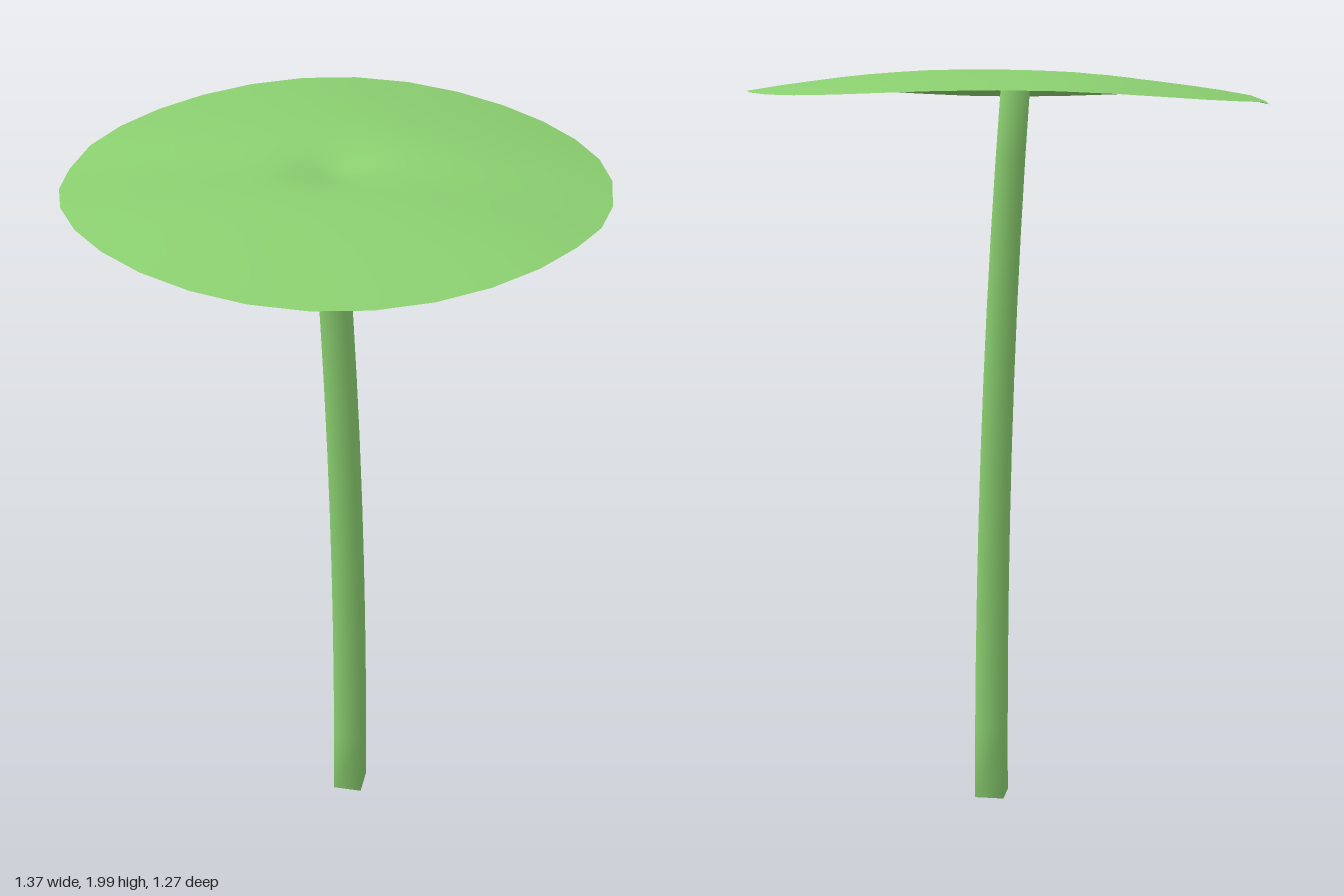
import * as THREE from 'three';
import { mergeVertices } from 'three/addons/utils/BufferGeometryUtils.js';

const green = new THREE.MeshStandardMaterial({ color: 0x8bcf70, side: THREE.DoubleSide });
green.name = 'leafGreen';

// Move every vertex by a rule, then weld and smooth the surface
function reshape(geometry, rule) {
  const p = geometry.attributes.position;
  const v = new THREE.Vector3();
  for (let i = 0; i < p.count; i++) {
    rule(v.fromBufferAttribute(p, i));
    p.setXYZ(i, v.x, v.y, v.z);
  }
  geometry.deleteAttribute('normal');
  geometry.deleteAttribute('uv');
  const welded = mergeVertices(geometry, 1e-5);
  welded.computeVertexNormals();
  return welded;
}

const bump = (d, width) => Math.exp(-((d / width) ** 2));

// Height of the pad: shallow dome, valley along x, dimple over the stem, wavy rim
function padHeight(x, z, r) {
  const angle = Math.atan2(z, x);
  return 1.996 - 0.068 * r ** 2
    + 0.012 * x - 0.012 * z
    - 0.014 * bump(z - 0.05, 0.13)
    - 0.026 * bump(Math.hypot(x, z), 0.1)
    + 0.01 * r ** 3 * Math.sin(3 * angle + 0.6);
}

export function createModel() {
  const group = new THREE.Group();
  group.name = 'lilyPad';

  // Round leaf: a thin sheet with rings packed toward the centre
  const disc = new THREE.RingGeometry(0, 1, 30, 12);
  disc.rotateX(-Math.PI / 2);
  const pad = new THREE.Mesh(reshape(disc, (v) => {
    const r = Math.hypot(v.x, v.z);
    const k = Math.sqrt(r);
    v.x *= 0.687 * k;
    v.z *= 0.638 * k;
    v.y = padHeight(v.x, v.z, r * k);
  }), green);
  pad.name = 'leafPad';
  group.add(pad);

  // Four-sided stem that bends and narrows toward the leaf
  const height = 1.95;
  const post = new THREE.CylinderGeometry(Math.SQRT1_2, Math.SQRT1_2, 1, 4, 10);
  post.rotateY(Math.PI / 4);
  const stem = new THREE.Mesh(reshape(post, (v) => {
    const t = v.y + 0.5;
    v.x = v.x * (0.08 - 0.014 * t) + 0.045 - 0.066 * t ** 2.2;
    v.z = v.z * 0.082 - 0.002 + 0.007 * t;
    v.y = t * height;
  }), green);
  stem.name = 'stem';
  group.add(stem);

  return group;
}
